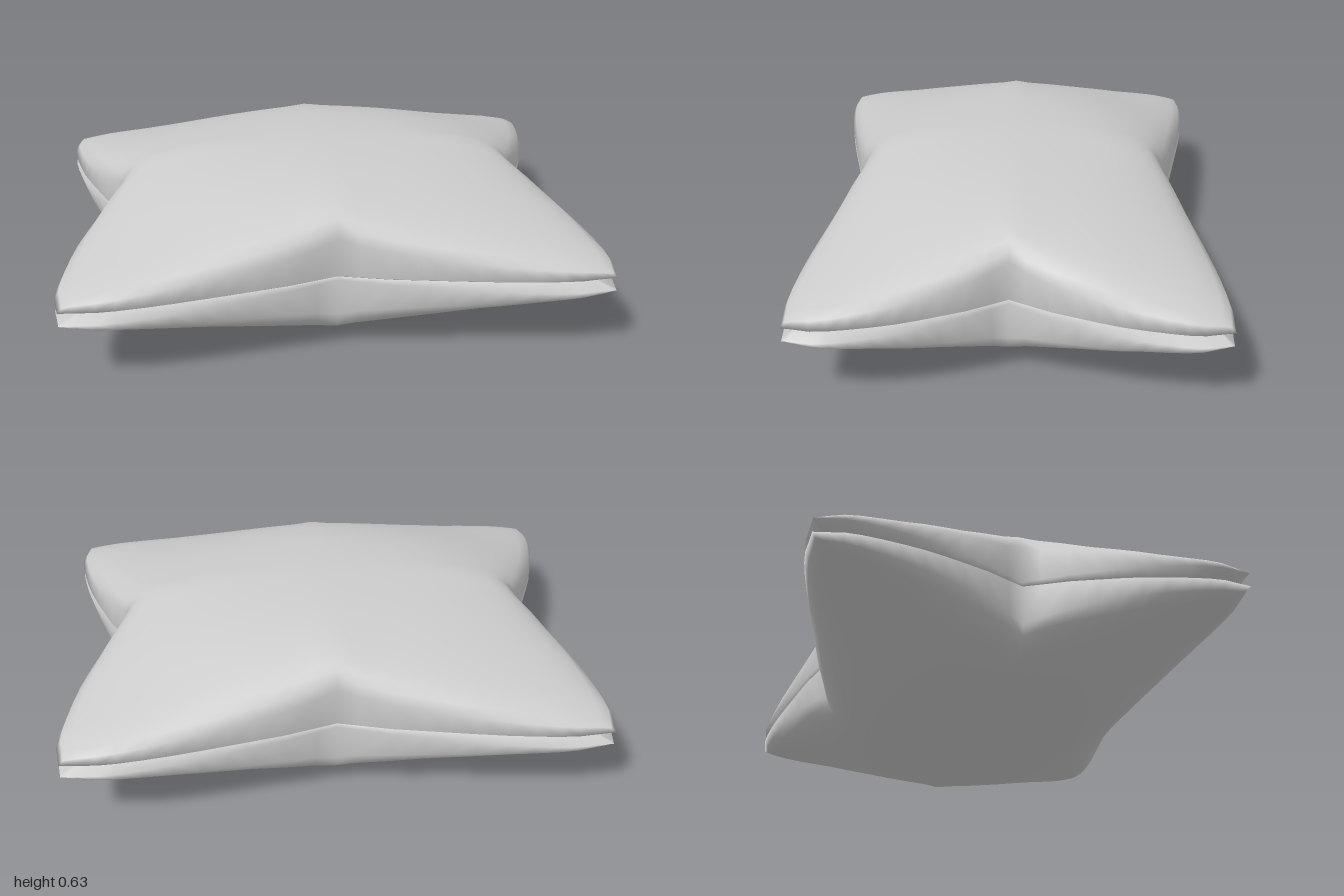
import * as THREE from 'three';

const MID = 0.317; // height of the seam
const TOP = 0.63;

// Grid stations from centre to rim; the last one (> 1) is the tucked-in seam
const HALF = [0.1, 0.25, 0.4, 0.52, 0.64, 0.75, 0.84, 0.9, 0.94, 0.975, 0.993, 1, 1.1];
const STATIONS = [...HALF.map((t) => -t).reverse(), 0, ...HALF];

// Rim outlines: [position along the edge, distance from the centre]
const SIDE_RIM = [[0, 0.765], [0.25, 0.847], [0.6, 0.935], [0.93, 1], [1, 0.98]];
const FRONT_RIM = [[0, 0.583], [0.25, 0.64], [0.6, 0.7], [0.93, 0.76], [1, 0.75]];

function sample(table, t) {
  for (let i = 1; i < table.length; i++) {
    const [t0, a] = table[i - 1], [t1, b] = table[i];
    if (t <= t1) return a + (b - a) * (t - t0) / (t1 - t0);
  }
  return table[table.length - 1][1];
}

// The body is a plain rectangle that flares out to the rim near its edge
function spread(t, across, rim) {
  const base = rim[0][1];
  return Math.sign(t) * (base * Math.abs(t) + (sample(rim, across) - base) * Math.abs(t) ** 8);
}

// Puffed profile: steep wall at the middle of an edge, softer toward corners
const puff = (t, across) => Math.max(0, 1 - t * t) ** (0.17 + 0.2 * across ** 0.7);

function cushionPoint(s, t, side) {
  const u = THREE.MathUtils.clamp(s, -1, 1), v = THREE.MathUtils.clamp(t, -1, 1);
  const au = Math.abs(u), av = Math.abs(v);
  const x = spread(u, av, SIDE_RIM), z = spread(v, au, FRONT_RIM);
  const corner = au * av;
  if (Math.abs(s) > 1 || Math.abs(t) > 1) {
    const inset = 0.98 - 0.05 * corner;
    return [x * inset, MID, z * inset];
  }
  const rim = 0.008 + 0.018 * corner;
  const h = rim + (TOP - MID - rim) * puff(au, av) * puff(av, au);
  return [x, MID + side * h, z];
}

function cushionHalf(side, name) {
  const n = STATIONS.length, pos = [], index = [];
  for (const s of STATIONS) for (const t of STATIONS) pos.push(...cushionPoint(s, t, side));
  for (let i = 0; i < n - 1; i++) {
    for (let j = 0; j < n - 1; j++) {
      const a = i * n + j, b = a + 1, c = a + n, d = c + 1;
      // Mirror the diagonals so the four quarters match
      const same = (i < (n - 1) / 2) === (j < (n - 1) / 2);
      const tris = same ? [[a, b, d], [a, d, c]] : [[a, b, c], [b, d, c]];
      for (const [p, q, r] of tris) index.push(...(side > 0 ? [p, q, r] : [p, r, q]));
    }
  }
  const geo = new THREE.BufferGeometry();
  geo.setAttribute('position', new THREE.Float32BufferAttribute(pos, 3));
  geo.setIndex(index);
  geo.computeVertexNormals();
  const mesh = new THREE.Mesh(geo, new THREE.MeshStandardMaterial({ color: 0xcccccc, side: THREE.DoubleSide }));
  mesh.name = name;
  return mesh;
}

export function createModel() {
  const pillow = new THREE.Group();
  pillow.name = 'pillow';
  pillow.add(cushionHalf(1, 'upperCushion'), cushionHalf(-1, 'lowerCushion'));
  pillow.position.y = TOP - 2 * MID + 0.004; // rest on the ground
  return pillow;
}
